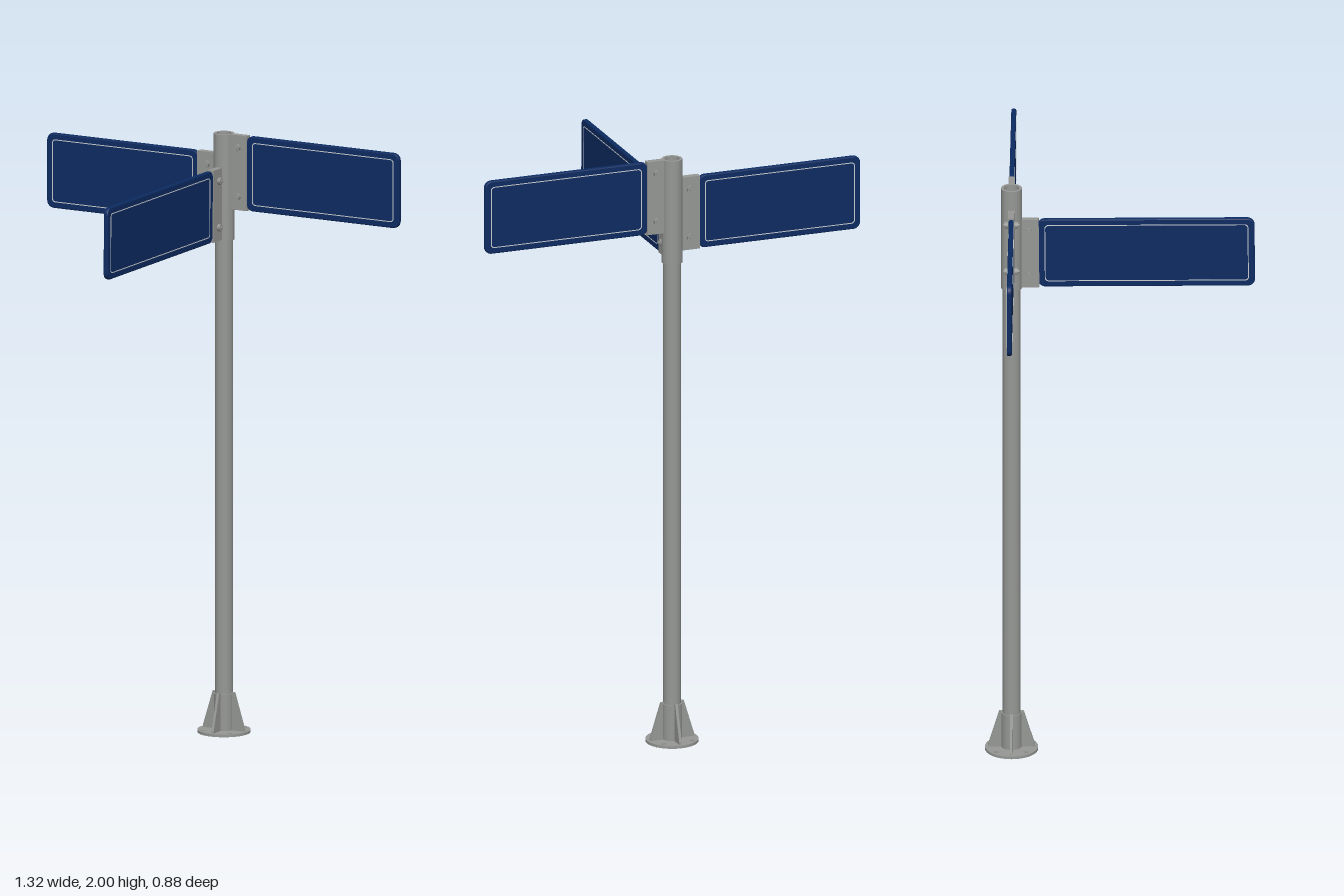
import * as THREE from 'three';

const mat = (name, hex) => {
  const m = new THREE.MeshStandardMaterial({ color: hex });
  m.name = name;
  return m;
};
const steel = mat('galvanised steel', 0x969895);
const blue = mat('sign blue', 0x0c2b62);
const white = mat('border white', 0xc9ccd0);

function add(parent, name, geo, material, x = 0, y = 0, z = 0) {
  const mesh = new THREE.Mesh(geo, material);
  mesh.name = name;
  mesh.position.set(x, y, z);
  parent.add(mesh);
  return mesh;
}

// Rounded rectangle traced on a Shape or Path
function roundRect(p, x0, y0, x1, y1, r) {
  p.moveTo(x0 + r, y0);
  p.lineTo(x1 - r, y0);
  p.absarc(x1 - r, y0 + r, r, -Math.PI / 2, 0);
  p.lineTo(x1, y1 - r);
  p.absarc(x1 - r, y1 - r, r, 0, Math.PI / 2);
  p.lineTo(x0 + r, y1);
  p.absarc(x0 + r, y1 - r, r, Math.PI / 2, Math.PI);
  p.lineTo(x0, y0 + r);
  p.absarc(x0 + r, y0 + r, r, Math.PI, Math.PI * 1.5);
  return p;
}

const circle = (r) => new THREE.Path().absarc(0, 0, r, 0, Math.PI * 2);

// Hollow tube standing on y0
function tube(outer, inner, y0, y1) {
  const s = new THREE.Shape().absarc(0, 0, outer, 0, Math.PI * 2);
  s.holes.push(circle(inner));
  const g = new THREE.ExtrudeGeometry(s, { depth: y1 - y0, bevelEnabled: false, curveSegments: 16 });
  return g.rotateX(-Math.PI / 2).translate(0, y0, 0);
}

// Sign blade running outward along +x from the pole axis
function signArm(name, start, end, y0, height, angle, tilt) {
  const arm = new THREE.Group();
  arm.name = name;
  arm.rotation.set(0, angle, tilt, 'YXZ');
  arm.position.y = y0;

  const b = 0.004;
  const shape = roundRect(new THREE.Shape(), start + b, b, end - b, height - b, 0.02);
  const panel = new THREE.ExtrudeGeometry(shape, {
    depth: 0.008, bevelThickness: 0.004, bevelSize: b, bevelSegments: 2, curveSegments: 5,
  }).translate(0, 0, -0.004);
  add(arm, 'signPanel', panel, blue);

  // Thin border line on both faces
  const line = roundRect(new THREE.Shape(), start + 0.022, 0.02, end - 0.02, height - 0.02, 0.012);
  line.holes.push(roundRect(new THREE.Path(), start + 0.025, 0.023, end - 0.023, height - 0.023, 0.01));
  const border = new THREE.ExtrudeGeometry(line, { depth: 0.001, bevelEnabled: false, curveSegments: 4 });
  add(arm, 'frontBorder', border, white, 0, 0, 0.0078);
  add(arm, 'backBorder', border, white, 0, 0, -0.0088);

  // Bracket plates gripping the blade, with bolts on both sides
  add(arm, 'bracket', new THREE.BoxGeometry(start - 0.021, height, 0.022), steel,
    (start + 0.029) / 2, height / 2, 0);
  for (const y of [0.045, height - 0.04]) {
    for (const side of [-1, 1]) {
      const head = new THREE.CylinderGeometry(0.012, 0.012, 0.012, 6).rotateX(Math.PI / 2);
      add(arm, 'bolt', head, steel, 0.058, y, side * 0.016);
    }
    add(arm, 'boltShank', new THREE.CylinderGeometry(0.005, 0.005, 0.052, 8).rotateX(Math.PI / 2),
      steel, 0.058, y, 0);
  }
  return arm;
}

export function createModel() {
  const model = new THREE.Group();
  model.name = 'signpost';
  const post = new THREE.Group();
  post.name = 'post';
  post.position.z = -0.355;
  model.add(post);

  add(post, 'pole', tube(0.029, 0.025, 0, 2), steel);
  add(post, 'clampSleeve', tube(0.034, 0.026, 1.645, 2), steel);
  add(post, 'baseCollar', tube(0.033, 0.027, 0.005, 0.13), steel);

  // Base flange with bolt holes on the diagonals
  const disc = new THREE.Shape().absarc(0, 0, 0.087, 0, Math.PI * 2);
  disc.holes.push(circle(0.025));
  for (let i = 0; i < 4; i++) {
    const a = Math.PI / 4 + i * Math.PI / 2;
    disc.holes.push(new THREE.Path().absarc(0.07 * Math.cos(a), 0.07 * Math.sin(a), 0.007, 0, Math.PI * 2));
  }
  const flange = new THREE.ExtrudeGeometry(disc, { depth: 0.009, bevelEnabled: false, curveSegments: 16 });
  add(post, 'baseFlange', flange.rotateX(-Math.PI / 2), steel);

  // Four tapering gussets around the foot
  const fin = new THREE.Shape([[0.028, 0.005], [0.078, 0.005], [0.076, 0.018], [0.04, 0.135], [0.028, 0.135]]
    .map(([x, y]) => new THREE.Vector2(x, y)));
  const finGeo = new THREE.ExtrudeGeometry(fin, { depth: 0.009, bevelEnabled: false }).translate(0, 0, -0.0045);
  for (let i = 0; i < 4; i++) add(post, 'gusset', finGeo, steel).rotation.y = i * Math.PI / 2;

  post.add(
    signArm('leftSign', 0.087, 0.658, 1.75, 0.25, 0, 0),
    signArm('rightSign', 0.09, 0.658, 1.683, 0.25, Math.PI, 0),
    signArm('frontSign', 0.087, 0.795, 1.65, 0.24, -Math.PI / 2, 0.01),
  );
  return model;
}
